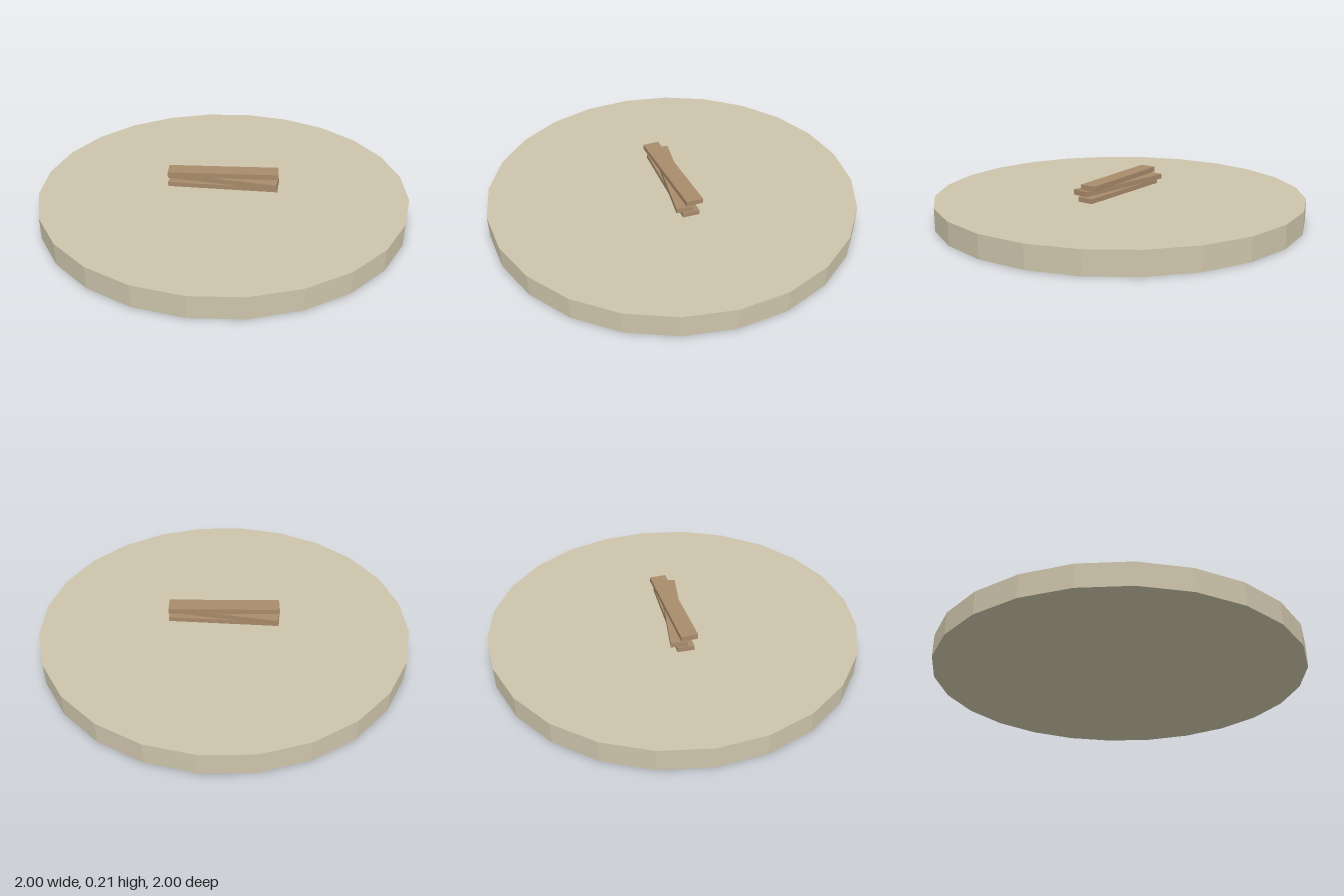
import * as THREE from 'three';

export function createModel() {
  const model = new THREE.Group();
  const stone = new THREE.MeshStandardMaterial({ name: 'paleSand', color: 0xcdc4ab, flatShading: true });
  const wood = new THREE.MeshStandardMaterial({ name: 'brownWood', color: 0xa88b6b, flatShading: true });

  // Round faceted base
  const base = new THREE.Mesh(new THREE.CylinderGeometry(1, 1, 0.12, 24), stone);
  base.name = 'base';
  base.position.y = 0.06;
  model.add(base);

  // Stack of planks, each twisted a little, the lowest sunk slightly into the base
  const stack = new THREE.Group();
  stack.name = 'plankStack';
  const plankGeometry = new THREE.BoxGeometry(0.6, 0.028, 0.09);
  [0.04, -0.075, 0.105].forEach((angle, i) => {
    const plank = new THREE.Mesh(plankGeometry, wood);
    plank.name = `plank${i + 1}`;
    plank.position.y = 0.131 + i * 0.0345;
    plank.rotation.y = angle;
    stack.add(plank);
  });
  model.add(stack);

  return model;
}
